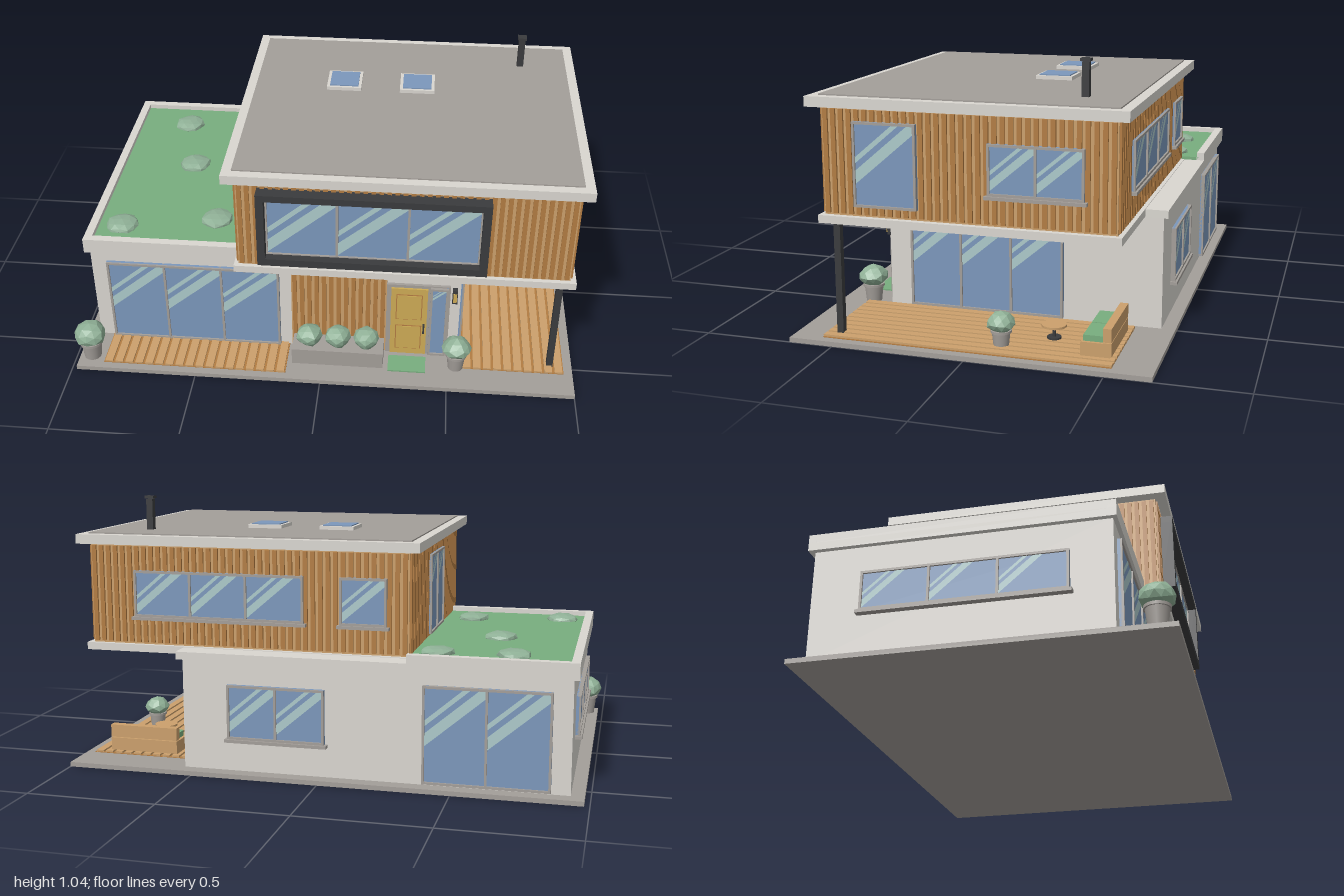
import * as THREE from 'three';

const mat = (name, color) => Object.assign(new THREE.MeshStandardMaterial({ color }), { name });
const M = {
  wall: mat('pale render', 0xd9d6d0),
  stone: mat('grey stone', 0xa39e99),
  wood: mat('light timber', 0xcba06c),
  clad: mat('cladding timber', 0xb27c42),
  dark: mat('charcoal metal', 0x3a3b3d),
  glass: mat('blue glass', 0x7b97bb),
  glare: mat('glass reflection', 0xacc9ca),
  leaf: mat('foliage', 0x8fb096),
  grass: mat('grass', 0x78ad7e),
  door: mat('ochre door', 0xcdab55),
};

function add(parent, name, geo, material, x = 0, y = 0, z = 0) {
  const m = new THREE.Mesh(geo, material);
  m.name = name;
  m.position.set(x, y, z);
  parent.add(m);
  return m;
}

// Box given by its limits on each axis
function box(parent, name, material, x0, x1, y0, y1, z0, z1) {
  return add(parent, name, new THREE.BoxGeometry(x1 - x0, y1 - y0, z1 - z0), material,
    (x0 + x1) / 2, (y0 + y1) / 2, (z0 + z1) / 2);
}

function cyl(parent, name, material, r0, r1, y0, y1, x, z, sides = 20) {
  return add(parent, name, new THREE.CylinderGeometry(r1, r0, y1 - y0, sides), material, x, (y0 + y1) / 2, z);
}

function sub(parent, name, x = 0, y = 0, z = 0, turn = 0) {
  const g = new THREE.Group();
  g.name = name;
  g.position.set(x, y, z);
  g.rotation.y = turn;
  parent.add(g);
  return g;
}

// Slanted band clipped to a pane of size w by h, lower left corner at the origin
function band(w, h, c0, c1, slope = 0.85) {
  const at = (c, u) => Math.min(h, Math.max(0, c + slope * u));
  const us = [0, w];
  for (const c of [c0, c1]) for (const lim of [0, h]) {
    const u = (lim - c) / slope;
    if (u > 0 && u < w) us.push(u);
  }
  us.sort((a, b) => a - b);
  const pts = us.map(u => new THREE.Vector2(u, at(c0, u)));
  us.reverse().forEach(u => pts.push(new THREE.Vector2(u, at(c1, u))));
  const clean = pts.filter((p, i) => p.distanceTo(pts[(i + 1) % pts.length]) > 1e-5);
  return new THREE.ShapeGeometry(new THREE.Shape(clean));
}

// Window centred at its group's origin, facing local +z
function glazing(parent, name, pos, turn, w, h, n, sill = false) {
  const g = sub(parent, name, ...pos, turn);
  const t = 0.009, d = 0.018;
  box(g, 'glass', M.glass, -w / 2, w / 2, -h / 2, h / 2, 0, 0.011);
  for (const s of [-1, 1]) box(g, 'frameRail', M.stone, -w / 2, w / 2, s * (h / 2 - t / 2) - t / 2, s * (h / 2 - t / 2) + t / 2, 0, d);
  for (let i = 0; i <= n; i++) {
    const x = -w / 2 + t / 2 + i * (w - t) / n;
    box(g, 'frameStile', M.stone, x - t / 2, x + t / 2, -h / 2, h / 2, 0, d);
  }
  const pw = (w - t) / n - t, ph = h - 2 * t, k = Math.min(pw, ph);
  for (let i = 0; i < n; i++) {
    const x = -w / 2 + t + i * (w - t) / n;
    add(g, 'reflection', band(pw, ph, ph - k * 0.98, ph - k * 0.76), M.glare, x, -ph / 2, 0.0125);
    add(g, 'reflection', band(pw, ph, ph - k * 0.64, ph - k * 0.54), M.glare, x, -ph / 2, 0.0125);
  }
  if (sill) box(g, 'sill', M.stone, -w / 2 - 0.01, w / 2 + 0.01, -h / 2 - 0.012, -h / 2, 0, 0.026);
  return g;
}

// Row of upright battens on a wall, facing local +z
function battens(parent, pos, turn, w, h) {
  const g = sub(parent, 'battens', ...pos, turn);
  const n = Math.round(w / 0.0295);
  for (let i = 0; i < n; i++)
    add(g, 'batten', new THREE.BoxGeometry(0.017, h, 0.008), M.clad, -w / 2 + (i + 0.5) * w / n, 0, 0.004);
}

// Faceted shrub: an icosphere pushed in and out by a position rule
function shrub(parent, x, y, z, rx, ry) {
  const geo = new THREE.IcosahedronGeometry(1, 1), p = geo.attributes.position, v = new THREE.Vector3();
  for (let i = 0; i < p.count; i++) {
    v.fromBufferAttribute(p, i);
    const k = 0.94 + 0.08 * Math.sin(5 * v.x + 9 * x) * Math.cos(4 * v.z + 7 * z) + 0.04 * Math.sin(6 * v.y + 3 * x);
    p.setXYZ(i, v.x * rx * k, v.y * ry * k, v.z * rx * k);
  }
  geo.computeVertexNormals();
  add(parent, 'shrub', geo, M.leaf, x, y, z);
}

function potPlant(parent, x, z, s) {
  const g = sub(parent, 'pottedShrub');
  cyl(g, 'pot', M.stone, 0.03 * s, 0.037 * s, 0.018, 0.018 + 0.062 * s, x, z);
  cyl(g, 'potRim', M.stone, 0.042 * s, 0.042 * s, 0.018 + 0.062 * s, 0.018 + 0.072 * s, x, z);
  shrub(g, x, 0.018 + 0.102 * s, z, 0.06 * s, 0.046 * s);
}

function deck(parent, name, x0, x1, z0, z1) {
  const g = sub(parent, name), n = Math.round((x1 - x0) / 0.041), p = (x1 - x0) / n;
  box(g, 'deckBase', M.clad, x0, x1, 0.016, 0.021, z0, z1);
  for (let i = 0; i < n; i++) box(g, 'plank', M.wood, x0 + i * p + 0.005, x0 + (i + 1) * p - 0.005, 0.018, 0.028, z0, z1);
}

export function createModel() {
  const root = new THREE.Group();
  root.name = 'house';
  const Q = Math.PI / 2;

  // Plinth and decks
  box(root, 'plinth', M.stone, -0.98, 1, 0, 0.018, -0.667, 0.667);
  deck(root, 'frontDeck', -0.875, -0.14, 0.46, 0.635);
  deck(root, 'sideDeck', 0.56, 0.965, -0.52, 0.55);

  // Ground floor
  const low = sub(root, 'groundFloor');
  box(low, 'walls', M.wall, -0.93, 0.54, 0.018, 0.45, -0.615, 0.46);
  box(low, 'roofSlab', M.wall, -0.95, 0.56, 0.445, 0.475, -0.635, 0.475);
  glazing(low, 'frontGlazing', [-0.522, 0.212, 0.46], 0, 0.69, 0.375, 3);
  glazing(low, 'sideGlazing', [0.54, 0.21, 0.065], Q, 0.61, 0.37, 3);
  glazing(low, 'leftWindow', [-0.93, 0.265, -0.06], -Q, 0.74, 0.15, 3, true);
  glazing(low, 'backWindow', [0.17, 0.25, -0.615], 2 * Q, 0.38, 0.21, 2, true);
  glazing(low, 'backDoors', [-0.625, 0.21, -0.615], 2 * Q, 0.47, 0.37, 2);

  // Green roof behind a parapet
  const green = sub(root, 'greenRoof');
  box(green, 'lawn', M.grass, -0.925, -0.33, 0.475, 0.488, -0.61, 0.45);
  box(green, 'parapetLeft', M.wall, -0.95, -0.918, 0.475, 0.507, -0.635, 0.475);
  box(green, 'parapetFront', M.wall, -0.95, -0.33, 0.475, 0.507, 0.443, 0.475);
  box(green, 'parapetBack', M.wall, -0.95, -0.33, 0.475, 0.507, -0.635, -0.603);
  for (const [x, z] of [[-0.705, -0.47], [-0.42, -0.485], [-0.615, -0.135], [-0.825, 0.335], [-0.45, 0.265]])
    shrub(green, x, 0.49, z, 0.07, 0.027);

  // Timber panel and entrance
  box(low, 'timberPanel', M.wood, -0.13, 0.25, 0.018, 0.445, 0.46, 0.466);
  battens(low, [0.06, 0.231, 0.466], 0, 0.38, 0.427);
  const entry = sub(root, 'entrance');
  box(entry, 'doorSurround', M.stone, 0.25, 0.5, 0.018, 0.365, 0.46, 0.472);
  box(entry, 'door', M.door, 0.268, 0.412, 0.022, 0.352, 0.46, 0.48);
  for (const [y0, y1] of [[0.05, 0.17], [0.2, 0.325]]) {
    box(entry, 'doorGroove', M.clad, 0.288, 0.392, y0, y1, 0.478, 0.482);
    box(entry, 'doorPanel', M.door, 0.292, 0.388, y0 + 0.004, y1 - 0.004, 0.478, 0.485);
  }
  box(entry, 'doorHandle', M.dark, 0.397, 0.404, 0.14, 0.18, 0.48, 0.494);
  glazing(entry, 'sideLight', [0.457, 0.19, 0.466], 0, 0.07, 0.34, 1);
  box(entry, 'lampBody', M.dark, 0.508, 0.528, 0.29, 0.355, 0.46, 0.48);
  box(entry, 'lampGlow', M.door, 0.511, 0.525, 0.3, 0.34, 0.478, 0.485);
  box(entry, 'doormat', M.grass, 0.265, 0.415, 0.018, 0.024, 0.5, 0.59);

  // Planter
  const planter = sub(root, 'planter');
  box(planter, 'planterBox', M.stone, -0.12, 0.245, 0.018, 0.09, 0.475, 0.575);
  for (const x of [-0.055, 0.06, 0.175]) shrub(planter, x, 0.13, 0.525, 0.055, 0.045);

  // Upper floor with cladding on four sides
  const up = sub(root, 'upperFloor');
  box(up, 'floorSlab', M.wall, -0.34, 0.965, 0.448, 0.477, -0.55, 0.55);
  box(up, 'timberWalls', M.wood, -0.322, 0.942, 0.475, 0.87, -0.532, 0.532);
  for (const s of [0, 1]) {
    battens(up, [0.31, 0.672, s ? -0.532 : 0.532], s * 2 * Q, 1.264, 0.375);
    battens(up, [s ? -0.322 : 0.942, 0.672, 0], s ? -Q : Q, 1.064, 0.375);
  }
  glazing(up, 'frontWindow', [0.193, 0.675, 0.536], 0, 0.81, 0.27, 3);
  box(up, 'frameTop', M.dark, -0.24, 0.625, 0.805, 0.832, 0.53, 0.587);
  box(up, 'frameBottom', M.dark, -0.24, 0.625, 0.515, 0.545, 0.53, 0.587);
  box(up, 'frameLeft', M.dark, 0.595, 0.625, 0.515, 0.832, 0.53, 0.587);
  box(up, 'frameRight', M.dark, -0.24, -0.21, 0.515, 0.832, 0.53, 0.587);
  glazing(up, 'sideTallWindow', [0.943, 0.667, 0.295], Q, 0.235, 0.305, 1);
  glazing(up, 'sideWindow', [0.943, 0.677, -0.25], Q, 0.34, 0.18, 2, true);
  glazing(up, 'backWideWindow', [0.42, 0.677, -0.533], 2 * Q, 0.68, 0.18, 3, true);
  glazing(up, 'backSmallWindow', [-0.15, 0.677, -0.533], 2 * Q, 0.18, 0.18, 1, true);
  glazing(up, 'terraceDoors', [-0.323, 0.655, -0.015], -Q, 0.3, 0.32, 2);

  // Roof, skylights and flue
  const roof = sub(root, 'roof');
  box(roof, 'roofSlab', M.wall, -0.367, 0.985, 0.868, 0.905, -0.575, 0.577);
  box(roof, 'roofDeck', M.stone, -0.33, 0.948, 0.9, 0.91, -0.537, 0.54);
  for (const x of [0.033, 0.33]) {
    box(roof, 'skylightCurb', M.wall, x - 0.07, x + 0.07, 0.905, 0.924, -0.232, -0.09);
    box(roof, 'skylightGlass', M.glass, x - 0.058, x + 0.058, 0.92, 0.928, -0.22, -0.102);
  }
  box(roof, 'flue', M.dark, 0.744, 0.77, 0.905, 1.03, -0.387, -0.361);
  box(roof, 'flueCap', M.dark, 0.739, 0.775, 1.033, 1.043, -0.392, -0.356);

  // Covered terrace: post, bench, table
  box(root, 'post', M.dark, 0.898, 0.923, 0.018, 0.45, 0.488, 0.513);
  const bench = sub(root, 'bench');
  box(bench, 'benchSeat', M.wood, 0.62, 0.9, 0.028, 0.078, -0.5, -0.395);
  for (const y of [0.03, 0.083]) box(bench, 'backBoard', M.wood, 0.62, 0.9, y, y + 0.05, -0.505, -0.475);
  for (const x of [0.632, 0.763]) box(bench, 'cushion', M.grass, x, x + 0.125, 0.078, 0.1, -0.475, -0.402);
  const table = sub(root, 'table');
  cyl(table, 'tableTop', M.wood, 0.046, 0.046, 0.074, 0.082, 0.765, -0.265);
  cyl(table, 'tableLeg', M.dark, 0.006, 0.006, 0.034, 0.075, 0.765, -0.265);
  cyl(table, 'tableFoot', M.dark, 0.026, 0.026, 0.028, 0.035, 0.765, -0.265);

  // Potted shrubs
  potPlant(root, -0.93, 0.595, 1.12);
  potPlant(root, 0.535, 0.54, 1.0);
  potPlant(root, 0.875, -0.1, 0.9);
  return root;
}
